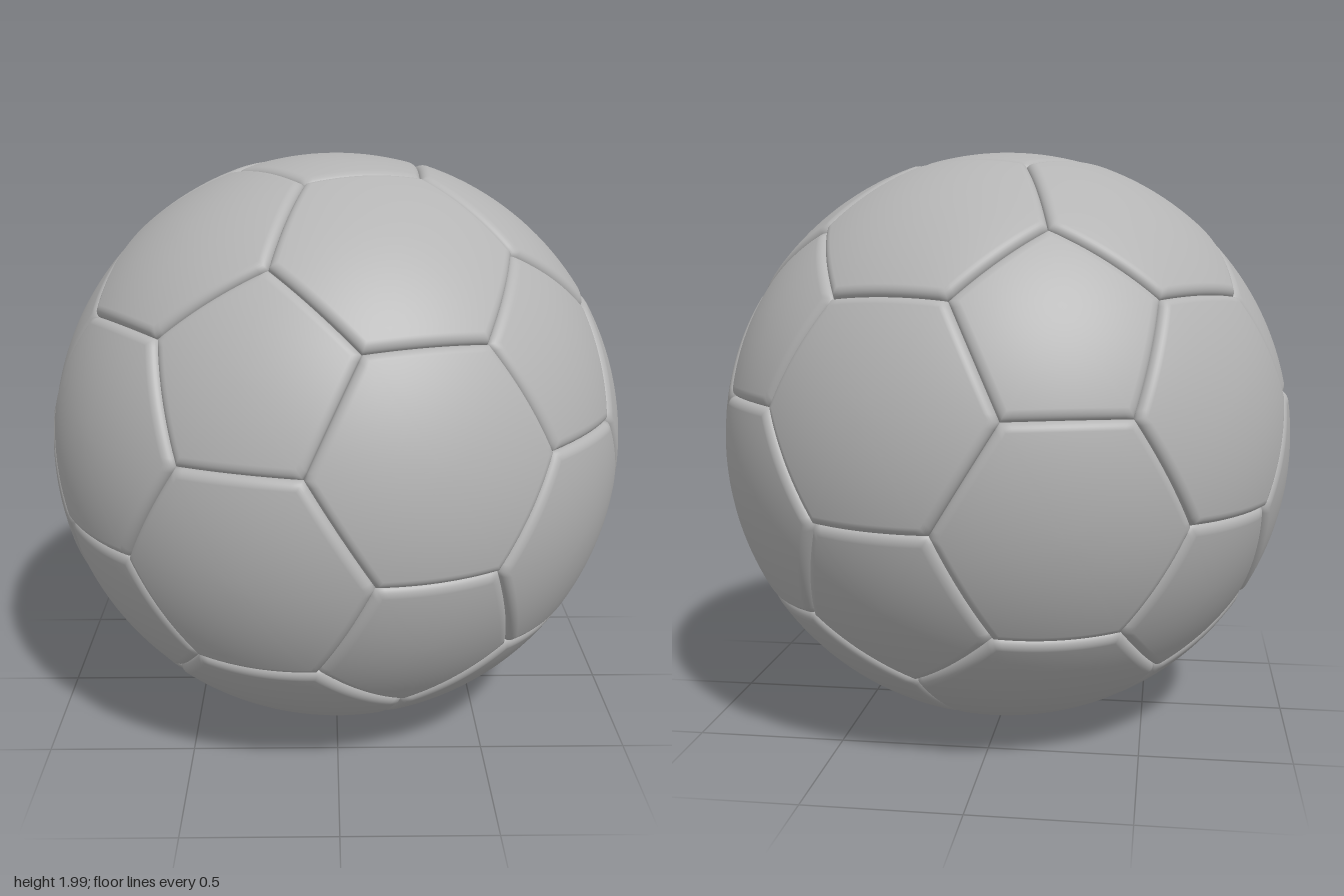
import * as THREE from 'three';

const HEX_RADIUS = 1.0, PENT_RADIUS = 0.994, SEAM_RADIUS = 0.972;
const BEVEL = 0.03; // width of the rounded panel border
const EDGE_STEPS = 16, INNER_RINGS = 9;

// Twelve icosahedron corners: two poles and two staggered rings of five
function icosahedronCorners() {
  const y = 1 / Math.sqrt(5), r = 2 / Math.sqrt(5);
  const corners = [new THREE.Vector3(0, 1, 0), new THREE.Vector3(0, -1, 0)];
  for (let k = 0; k < 5; k++) {
    const a = (k * Math.PI * 2) / 5;
    corners.push(new THREE.Vector3(-r * Math.cos(a), y, -r * Math.sin(a)));
    corners.push(new THREE.Vector3(r * Math.cos(a), -y, r * Math.sin(a)));
  }
  return corners;
}

// Puffed spherical polygon whose border rolls down into the seam
function panelGeometry(corners, radius) {
  const n = corners.length;
  const centre = corners.reduce((s, c) => s.add(c), new THREE.Vector3()).divideScalar(n);
  const axis = centre.clone().normalize();

  // Order the corners counter-clockwise seen from outside
  const u = corners[0].clone().sub(centre).normalize();
  const v = axis.clone().cross(u);
  const angle = (p) => Math.atan2(p.clone().sub(centre).dot(v), p.clone().sub(centre).dot(u));
  const loop = [...corners].sort((a, b) => angle(a) - angle(b));
  const apothem = loop[0].clone().add(loop[1]).multiplyScalar(0.5).distanceTo(centre);

  // Ring distances from the seam: dense over the bevel, even further in
  const insets = [0, 0.02, 0.07, 0.15, 0.27, 0.42, 0.6, 0.8, 1].map((t) => t * BEVEL);
  for (let i = 1; i < INNER_RINGS; i++) insets.push(BEVEL + ((apothem - BEVEL) * i) / INNER_RINGS);

  const positions = [], index = [];
  const count = n * EDGE_STEPS;
  for (const inset of insets) {
    const t = Math.min(inset / BEVEL, 1);
    const r = SEAM_RADIUS + (radius - SEAM_RADIUS) * Math.sqrt(1 - (1 - t) ** 2);
    for (let i = 0; i < count; i++) {
      const k = Math.floor(i / EDGE_STEPS);
      const p = loop[k].clone().lerp(loop[(k + 1) % n], (i % EDGE_STEPS) / EDGE_STEPS);
      p.lerp(centre, inset / apothem).setLength(r);
      positions.push(p.x, p.y, p.z);
    }
  }
  axis.setLength(radius);
  positions.push(axis.x, axis.y, axis.z);

  const last = insets.length - 1, hub = insets.length * count;
  for (let i = 0; i < count; i++) {
    const j = (i + 1) % count;
    for (let k = 0; k < last; k++) {
      const a = k * count + i, b = k * count + j;
      index.push(a, b, b + count, a, b + count, a + count);
    }
    index.push(last * count + i, last * count + j, hub);
  }
  const geometry = new THREE.BufferGeometry();
  geometry.setAttribute('position', new THREE.Float32BufferAttribute(positions, 3));
  geometry.setIndex(index);
  geometry.computeVertexNormals();
  return geometry;
}

export function createModel() {
  const leather = new THREE.MeshStandardMaterial({ color: 0xb4b4b4 });
  leather.name = 'grey leather';

  const ball = new THREE.Group();
  ball.name = 'ball';
  ball.position.y = PENT_RADIUS;

  const ico = icosahedronCorners();
  const near = (a, b) => a !== b && a.distanceTo(b) < 1.2;
  const cut = (a, b) => a.clone().lerp(b, 1 / 3); // truncation point near a
  const addPanel = (name, corners, radius) => {
    const mesh = new THREE.Mesh(panelGeometry(corners, radius), leather);
    mesh.name = name;
    ball.add(mesh);
  };

  // Pentagon panels around the icosahedron corners
  ico.forEach((a, i) => {
    addPanel(`pentagonPanel${i + 1}`, ico.filter((b) => near(a, b)).map((b) => cut(a, b)), PENT_RADIUS);
  });

  // Hexagon panels on the icosahedron faces
  let count = 0;
  for (let i = 0; i < 12; i++) for (let j = i + 1; j < 12; j++) for (let k = j + 1; k < 12; k++) {
    const [a, b, c] = [ico[i], ico[j], ico[k]];
    if (!near(a, b) || !near(b, c) || !near(a, c)) continue;
    const corners = [cut(a, b), cut(b, a), cut(b, c), cut(c, b), cut(c, a), cut(a, c)];
    addPanel(`hexagonPanel${++count}`, corners, HEX_RADIUS);
  }

  const model = new THREE.Group();
  model.name = 'panelledBall';
  model.add(ball);
  return model;
}
